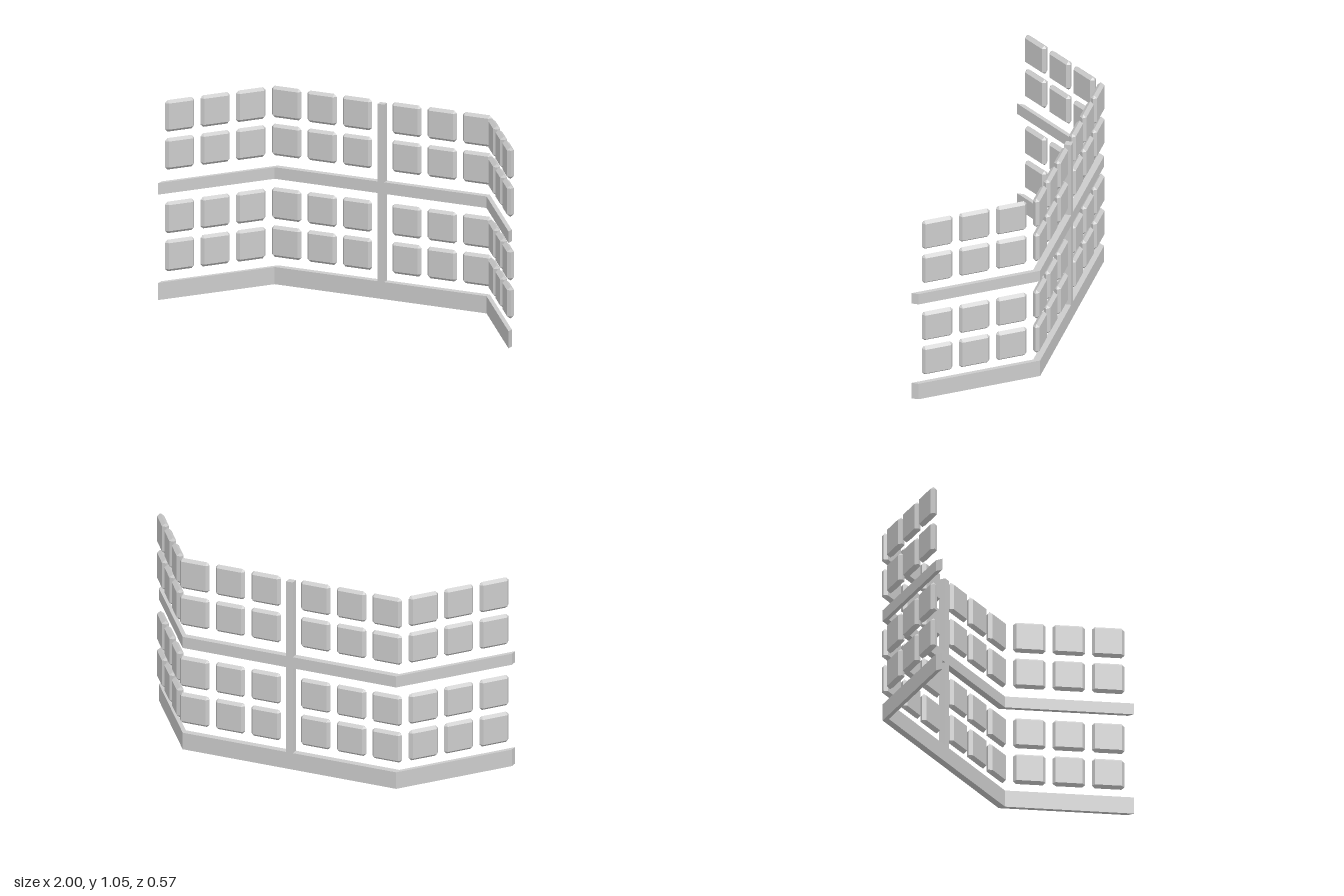
import * as THREE from 'three';
import { ConvexGeometry } from 'three/addons/geometries/ConvexGeometry.js';

const BACK = -0.285, FRONT = -0.248;      // depth of the straight middle section
const MID_Z = (BACK + FRONT) / 2;
const CORNER_X = 0.605;                   // where the wings fold forward
const WING_ANGLE = Math.atan2(0.535, 0.395);

// Folded strip: straight middle with two wings angled forward
function railGeometry(height) {
  const plan = [
    [-1, 0.285], [-CORNER_X, FRONT], [CORNER_X, FRONT], [1, 0.285],
    [1, 0.248], [CORNER_X, BACK], [-CORNER_X, BACK], [-1, 0.248],
  ];
  const shape = new THREE.Shape(plan.map(([x, z]) => new THREE.Vector2(x, -z)));
  return new THREE.ExtrudeGeometry(shape, { depth: height, bevelEnabled: false }).rotateX(-Math.PI / 2);
}

// Square slab whose bevels meet in a ridge around the rim
function panelGeometry() {
  const half = 0.0835, inset = half - 0.0145, thick = 0.018;
  const points = [];
  for (const sx of [-1, 1]) for (const sy of [-1, 1]) {
    points.push(
      new THREE.Vector3(sx * inset, sy * inset, thick),
      new THREE.Vector3(sx * inset, sy * inset, -thick),
      new THREE.Vector3(sx * half, sy * inset, 0),
      new THREE.Vector3(sx * inset, sy * half, 0),
    );
  }
  return new ConvexGeometry(points);
}

export function createModel() {
  const model = new THREE.Group();
  model.name = 'foldedPanelScreen';
  const material = new THREE.MeshStandardMaterial({ color: 0xcccccc, flatShading: true });

  const add = (name, geometry, x, y, z, turn = 0) => {
    const mesh = new THREE.Mesh(geometry, material);
    mesh.name = name;
    mesh.position.set(x, y, z);
    mesh.rotation.y = turn;
    model.add(mesh);
  };

  // Horizontal rails
  add('bottomRail', railGeometry(0.091), 0, 0, 0);
  add('middleRail', railGeometry(0.061), 0, 0.558, 0);

  // Centre post, in two lengths between and above the rails
  const post = (name, y0, y1) =>
    add(name, new THREE.BoxGeometry(0.038, y1 - y0, FRONT - BACK), 0, (y0 + y1) / 2, MID_Z);
  post('lowerPost', 0.091, 0.558);
  post('upperPost', 0.619, 1.03);

  // Four rows of panels, three per half of the middle and three per wing
  const panel = panelGeometry();
  for (const y of [0.223, 0.4245, 0.761, 0.962]) {
    for (const side of [-1, 1]) {
      for (let i = 0; i < 3; i++) {
        add('middlePanel', panel, side * (0.141 + 0.202 * i), y, MID_Z);
        add('wingPanel', panel, side * (0.696 + 0.121 * i), y, -0.157 + 0.162 * i, -side * WING_ANGLE);
      }
    }
  }
  return model;
}
